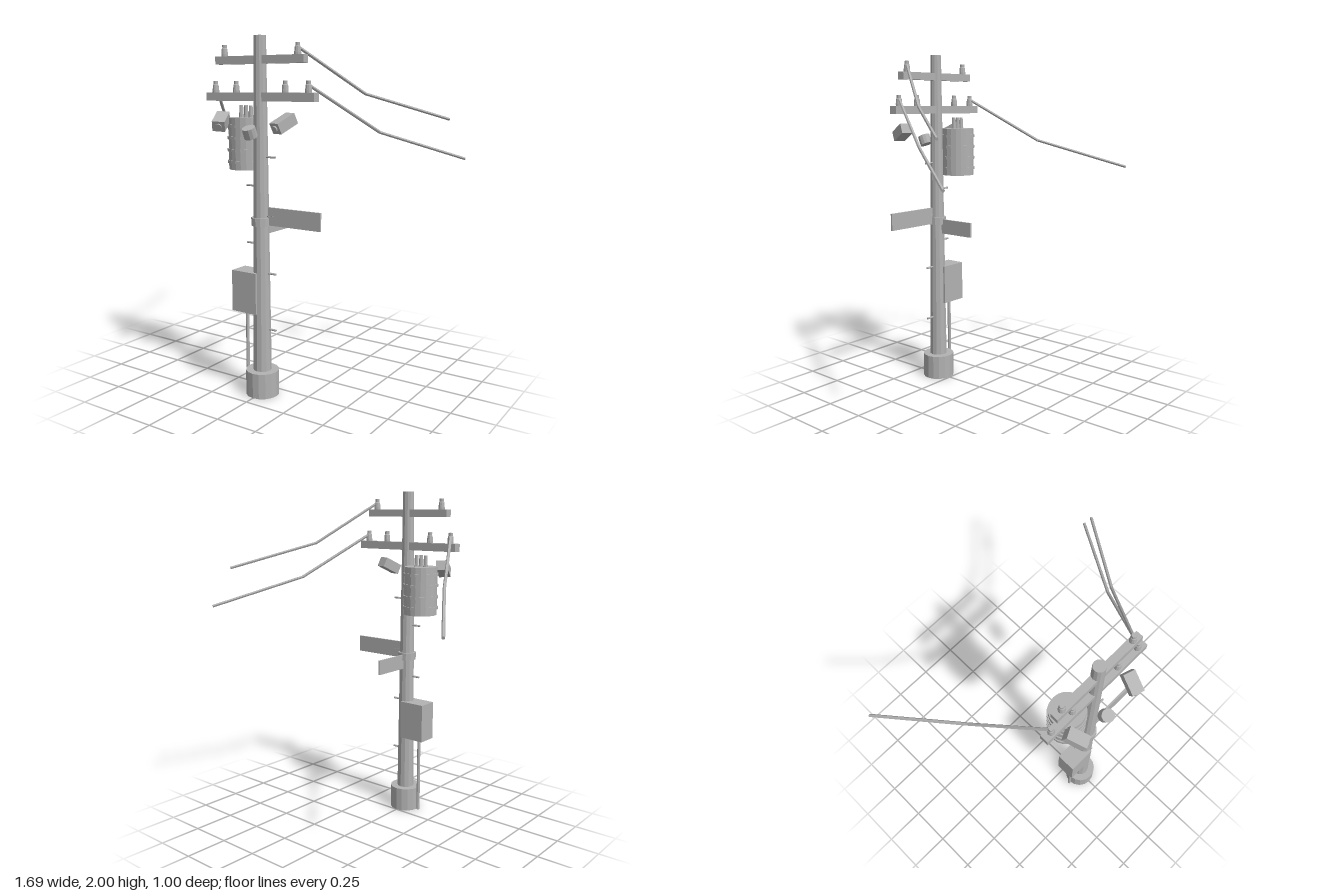
import * as THREE from 'three';

export function createModel() {
  const model = new THREE.Group();
  const grey = new THREE.MeshStandardMaterial({ name: 'plain grey', color: 0xb2b2b2, flatShading: true });
  const PZ = 0.345; // depth of the pole axis

  const add = (name, geometry, x, y, z, parent = model) => {
    const mesh = new THREE.Mesh(geometry, grey);
    mesh.name = name;
    mesh.position.set(x, y, z);
    parent.add(mesh);
    return mesh;
  };
  const box = (name, w, h, d, x, y, z, parent) => add(name, new THREE.BoxGeometry(w, h, d), x, y, z, parent);
  // Upright cylinder, given by its bottom and top heights
  const post = (name, rTop, rBottom, y0, y1, x, z, sides = 12, parent = model) =>
    add(name, new THREE.CylinderGeometry(rTop, rBottom, y1 - y0, sides), x, (y0 + y1) / 2, z, parent);
  // Rod between two points
  const rod = (name, a, b, r, sides = 8, parent = model) => {
    const dir = b.clone().sub(a);
    const mid = a.clone().add(b).multiplyScalar(0.5);
    const mesh = add(name, new THREE.CylinderGeometry(r, r, dir.length(), sides), mid.x, mid.y, mid.z, parent);
    mesh.quaternion.setFromUnitVectors(new THREE.Vector3(0, 1, 0), dir.normalize());
    return mesh;
  };

  // Pole and footing
  post('footing', 0.095, 0.095, 0, 0.145, 0, PZ, 16);
  post('pole', 0.033, 0.053, 0.1, 2, 0, PZ, 12);

  // Cross arms
  box('upperCrossArm', 0.58, 0.043, 0.043, 0, 1.874, PZ);
  box('lowerCrossArm', 0.71, 0.046, 0.05, 0, 1.679, PZ);

  // Insulators: tapered, with a narrow cap
  const insulatorProfile = [[0, 0], [0.019, 0], [0.019, 0.012], [0.016, 0.04], [0.013, 0.045], [0.013, 0.062], [0, 0.062]]
    .map(([r, y]) => new THREE.Vector2(r, y));
  const insulator = new THREE.LatheGeometry(insulatorProfile, 10);
  for (const x of [-0.24, 0.24]) add('insulator', insulator, x, 1.895, PZ);
  for (const x of [-0.307, -0.162, 0.162, 0.307]) add('insulator', insulator, x, 1.702, PZ);

  // Sagging wires, each of two straight lengths
  const wire = (points) => {
    const group = new THREE.Group();
    group.name = 'wire';
    const p = points.map((c) => new THREE.Vector3(...c));
    rod('wireLength', p[0], p[1], 0.009, 6, group);
    rod('wireLength', p[1], p[2], 0.009, 6, group);
    model.add(group);
  };
  wire([[0.24, 1.935, PZ], [0.465, 1.695, 0.028], [0.775, 1.552, -0.395]]);
  for (const s of [-1, 1]) wire([[s * 0.307, 1.742, PZ], [s * 0.527, 1.488, -0.033], [s * 0.838, 1.325, -0.492]]);

  // Transformer drum with bands and bushings
  const transformer = new THREE.Group();
  transformer.name = 'transformer';
  model.add(transformer);
  const tx = -0.136, tz = 0.294;
  post('drum', 0.098, 0.098, 1.28, 1.565, tx, tz, 20, transformer);
  for (const y of [1.323, 1.387, 1.455, 1.52]) post('band', 0.105, 0.105, y - 0.008, y + 0.008, tx, tz, 20, transformer);
  for (const dx of [-0.033, 0, 0.033]) post('bushing', 0.01, 0.014, 1.56, 1.632, tx + dx, tz, 8, transformer);

  // Two tilted cameras below the lower arm
  for (const [x, yaw, roll] of [[-0.208, 0.42, -0.08], [0.207, -0.3, 0]]) {
    const camera = new THREE.Group();
    camera.name = 'camera';
    camera.position.set(x, 1.547, 0.425);
    camera.rotation.set(0.45, yaw, roll, 'YXZ');
    box('cameraBody', 0.07, 0.06, 0.12, 0, 0, 0, camera);
    add('cameraLens', new THREE.CylinderGeometry(0.018, 0.018, 0.012, 12), 0, 0, 0.062, camera).rotation.x = Math.PI / 2;
    model.add(camera);
  }

  // Tilted drum on the front of the pole
  post('frontDrum', 0.037, 0.037, 1.466, 1.522, 0, 0.442, 12).rotation.x = 0.42;

  // Street signs on a clamp
  post('signClamp', 0.056, 0.056, 0.98, 1.025, 0, PZ, 12);
  box('sideSign', 0.335, 0.1, 0.011, 0.2165, 1.035, PZ);
  box('rearSign', 0.011, 0.088, 0.235, 0, 0.968, 0.187);

  // Meter box and its conduit
  box('meterBox', 0.165, 0.236, 0.118, -0.0825, 0.597, PZ);
  post('conduit', 0.01, 0.01, 0, 0.49, -0.103, PZ, 8);

  // Climbing pegs on alternating sides
  for (let i = 0; i < 7; i++) {
    const s = i % 2 ? -1 : 1, y = 0.39 + i * 0.1615;
    rod('climbingPeg', new THREE.Vector3(s * 0.03, y, PZ), new THREE.Vector3(s * 0.097, y, PZ), 0.006, 6);
  }

  return model;
}
